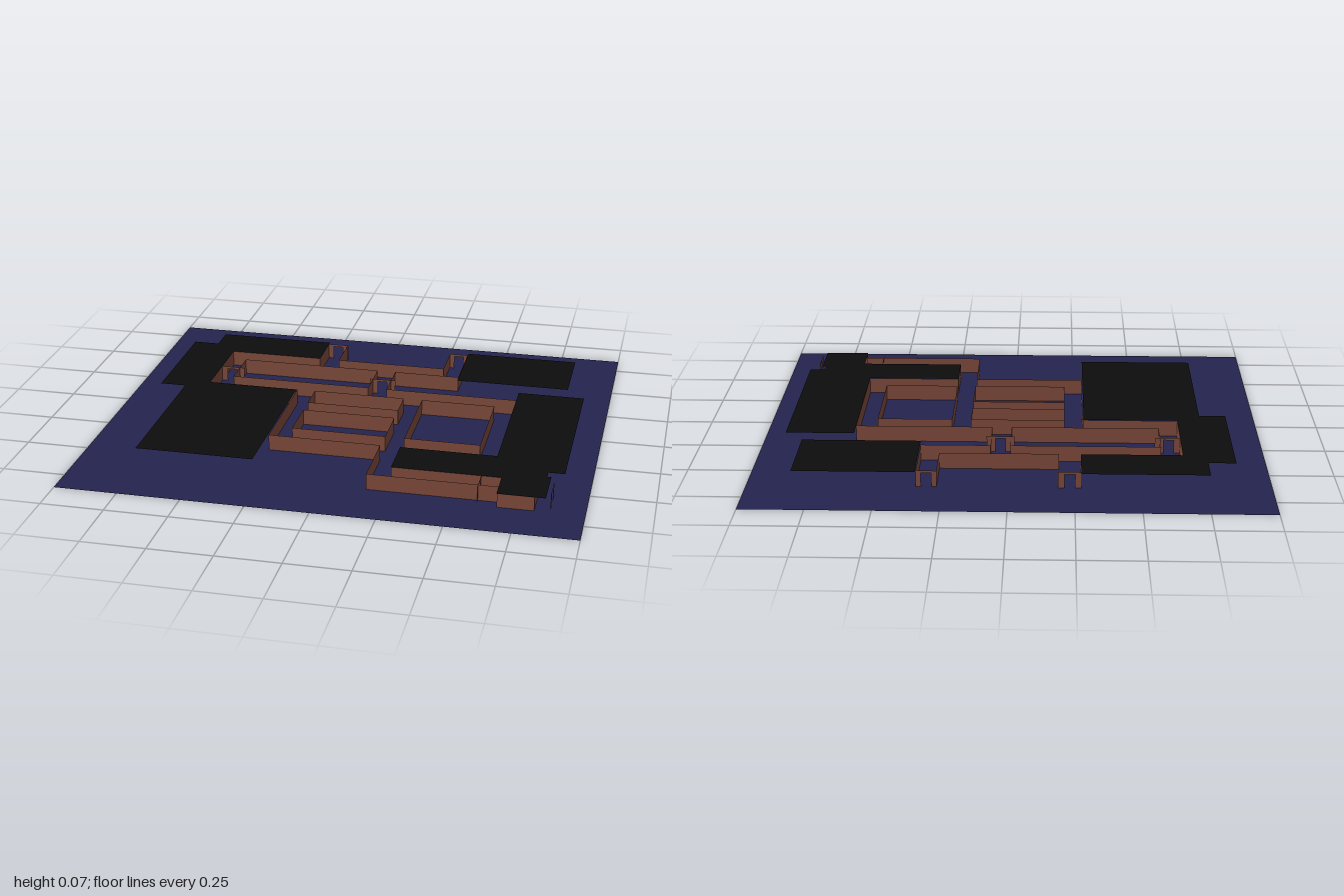
import * as THREE from 'three';

const WALL_H = 0.065;

function mat(name, color) {
  const m = new THREE.MeshStandardMaterial({ color, side: THREE.DoubleSide });
  m.name = name;
  return m;
}

export function createModel() {
  const group = new THREE.Group();
  group.name = 'maze';
  const navy = mat('navy ground', 0x23234e);
  const brick = mat('brick brown', 0x804b3c);
  const black = mat('black roof', 0x0d0d0d);

  const add = (name, geometry, material, x, y, z) => {
    const mesh = new THREE.Mesh(geometry, material);
    mesh.name = name;
    mesh.position.set(x, y, z);
    group.add(mesh);
    return mesh;
  };

  // Flat horizontal sheet between two corners
  const sheet = (name, material, x0, z0, x1, z1, y) =>
    add(name, new THREE.PlaneGeometry(x1 - x0, z1 - z0).rotateX(-Math.PI / 2),
      material, (x0 + x1) / 2, y, (z0 + z1) / 2);

  // Thin upright walls along a chain of [x, z] points
  const walls = (name, points, closed) => {
    const n = closed ? points.length : points.length - 1;
    for (let i = 0; i < n; i++) {
      const [x0, z0] = points[i];
      const [x1, z1] = points[(i + 1) % points.length];
      const wall = add(name, new THREE.PlaneGeometry(Math.hypot(x1 - x0, z1 - z0), WALL_H),
        brick, (x0 + x1) / 2, WALL_H / 2, (z0 + z1) / 2);
      wall.rotation.y = -Math.atan2(z1 - z0, x1 - x0);
    }
  };

  // Thin panel with a doorway cut in its foot
  const gate = (x, z, width, turned) => {
    const w = width / 2, d = 0.02, h = 0.055;
    const shape = new THREE.Shape([
      [-w, 0], [-d, 0], [-d, h], [d, h], [d, 0], [w, 0], [w, WALL_H], [-w, WALL_H],
    ].map(([a, b]) => new THREE.Vector2(a, b)));
    const panel = add('gate', new THREE.ShapeGeometry(shape), brick, x, 0, z);
    if (turned) panel.rotation.y = Math.PI / 2;
  };

  // Ground
  sheet('ground', navy, -1, -0.86, 1, 0.86, 0);

  // Outer corridor wall, from one dead end round to the other
  walls('outerWall', [
    [-0.19, -0.635], [-0.19, -0.46], [0.275, -0.46], [0.275, -0.635],
  ]);
  walls('outerWall', [
    [0.353, -0.635], [0.353, -0.38], [0.078, -0.38], [0.078, -0.187], [0.628, -0.187],
    [0.628, 0.362], [0.245, 0.362], [0.245, 0.546], [0.67, 0.546], [0.67, 0.51],
    [0.81, 0.51], [0.81, 0.665], [0.67, 0.665], [0.67, 0.624], [0.165, 0.624],
    [0.165, 0.362], [-0.287, 0.362], [-0.287, -0.104], [-0.67, -0.104],
    [-0.67, -0.46], [-0.275, -0.46], [-0.275, -0.635],
  ]);

  // Inner blocks
  for (const [x0, z0, x1, z1] of [
    [-0.59, -0.38, 0, -0.187],
    [-0.212, -0.107, 0.168, 0.016],
    [-0.212, 0.094, 0.168, 0.278],
    [0.245, -0.107, 0.548, 0.278],
  ]) walls('innerWall', [[x0, z0], [x1, z0], [x1, z1], [x0, z1]], true);

  // Gates across the corridors and dead ends
  gate(-0.232, -0.635, 0.09);
  gate(0.314, -0.635, 0.08);
  gate(-0.625, -0.285, 0.11);
  gate(0.042, -0.285, 0.11);
  gate(0.593, 0.588, 0.11, true);
  gate(0.868, 0.588, 0.115, true);

  // Flat roofs, stepped very slightly where they overlap
  [
    [-0.762, -0.652, -0.275, -0.46],
    [-0.869, -0.535, -0.67, -0.045],
    [-0.762, -0.102, -0.29, 0.594],
    [0.355, -0.652, 0.826, -0.342],
    [0.628, -0.267, 0.901, 0.465],
    [0.245, 0.363, 0.837, 0.546],
    [0.67, 0.503, 0.853, 0.684],
  ].forEach(([x0, z0, x1, z1], i) =>
    sheet('roof', black, x0, z0, x1, z1, WALL_H + 0.0003 * (i % 4)));

  return group;
}
